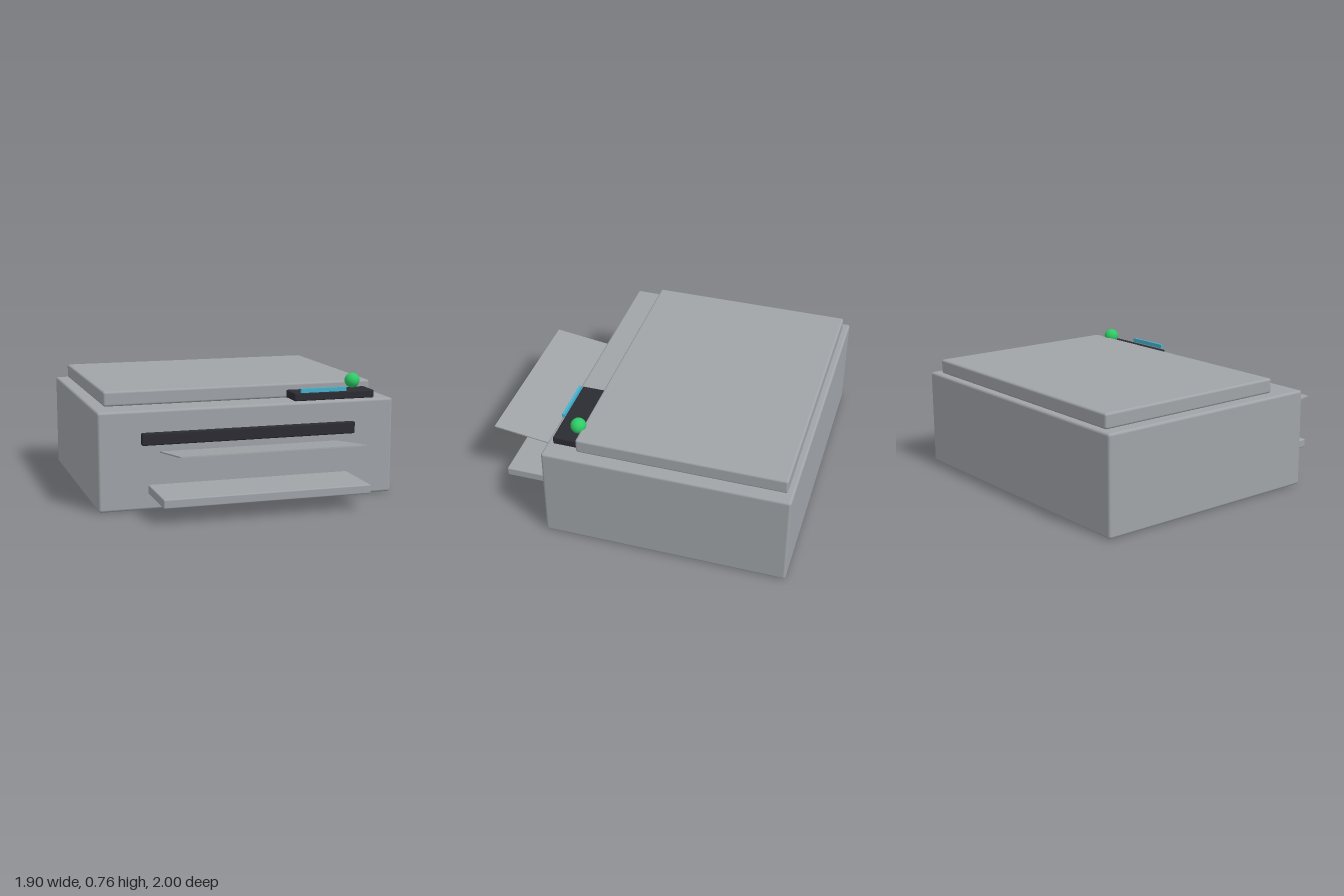
import * as THREE from 'three';
import { RoundedBoxGeometry } from 'three/addons/geometries/RoundedBoxGeometry.js';

const material = (name, color) => {
  const m = new THREE.MeshStandardMaterial({ color });
  m.name = name;
  return m;
};

export function createModel() {
  const grey = material('casing grey', 0xa0a4a8);
  const dark = material('dark plastic', 0x2b2b33);
  const cyan = material('screen cyan', 0x45b3cf);
  const green = material('button green', 0x2ecc66);

  const model = new THREE.Group();
  model.name = 'printer';

  // Box spanning [min, max] on each axis, with softened edges if radius > 0
  function box(name, mat, [x0, x1], [y0, y1], [z0, z1], radius = 0) {
    const size = [x1 - x0, y1 - y0, z1 - z0];
    const geometry = radius
      ? new RoundedBoxGeometry(...size, 3, radius)
      : new THREE.BoxGeometry(...size);
    const mesh = new THREE.Mesh(geometry, mat);
    mesh.name = name;
    mesh.position.set((x0 + x1) / 2, (y0 + y1) / 2, (z0 + z1) / 2);
    model.add(mesh);
    return mesh;
  }

  // Casing and scanner lid
  box('body', grey, [-0.95, 0.95], [0, 0.61], [-1, 0.523], 0.016);
  box('scannerLid', grey, [-0.873, 0.873], [0.61, 0.702], [-0.962, 0.328], 0.014);

  // Paper slot and output tray on the front
  box('paperSlot', dark, [-0.686, 0.686], [0.4, 0.476], [0.45, 0.55], 0.009);
  box('outputTray', grey, [-0.645, 0.645], [0.098, 0.154], [0.4, 0.904], 0.008);

  // Sheet sloping up and out of the front
  const slope = 0.137;
  const sheet = box('paperSheet', grey, [-0.57, 0.57], [0, 0.008], [0, 0.6]);
  sheet.rotation.x = -slope;
  sheet.position.set(0, 0.418 - 0.3 * Math.sin(slope), 0.999 - 0.3 * Math.cos(slope));

  // Control panel with screen and round button
  box('controlPanel', dark, [0.305, 0.838], [0.611, 0.661], [0.22, 0.484], 0.008);
  box('screen', cyan, [0.343, 0.645], [0.664, 0.69], [0.479, 0.495]);

  const button = new THREE.Mesh(new THREE.SphereGeometry(0.048, 32, 20), green);
  button.name = 'powerButton';
  button.position.set(0.742, 0.708, 0.353);
  model.add(button);

  return model;
}
